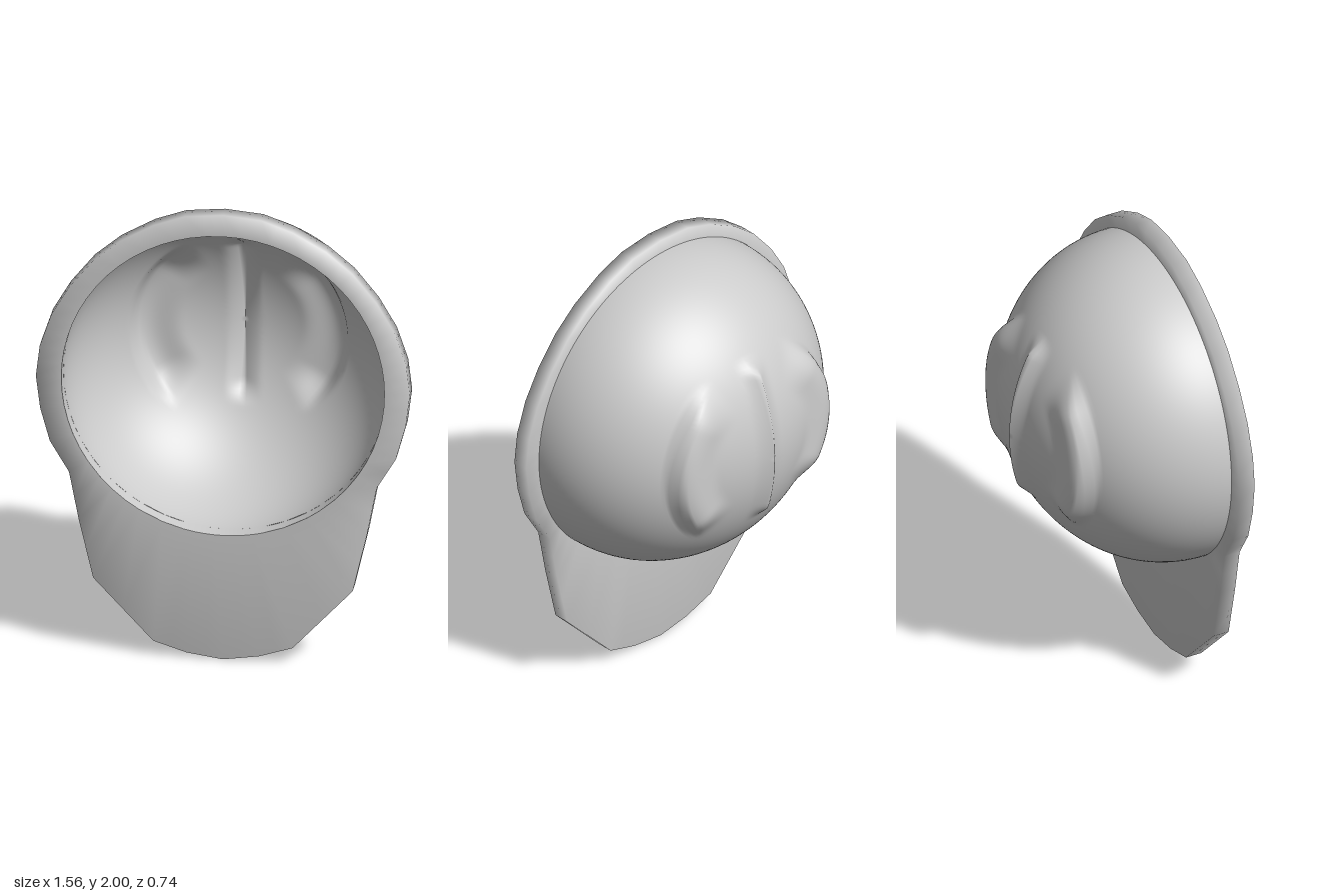
import * as THREE from 'three';
import { mergeVertices } from 'three/addons/utils/BufferGeometryUtils.js';

const CENTRE_Y = 1.232, RIM_Z = 0.3, HOLE_R = 0.672, DOME_R = 0.705;
const { smoothstep } = THREE.MathUtils;

const material = () => new THREE.MeshStandardMaterial({ color: 0xcccccc, side: THREE.DoubleSide });

function addMesh(group, name, geometry) {
  const mesh = new THREE.Mesh(geometry, material());
  mesh.name = name;
  group.add(mesh);
}

// Height of the raised folds on the crown: one sharp middle fin, two curved side folds
function foldHeight(x, y) {
  const across = Math.max(0, 1 - Math.abs(x) / 0.075) ** 1.6;
  const along = smoothstep(y, 0.89, 0.98) * (1 - smoothstep(y, 1.6, 1.67));
  const middle = (0.03 + 0.11 * (y - 1.23) ** 2) * across * along;

  const r = Math.hypot(x, y - 1.25);
  const angle = Math.atan2(y - 1.25, Math.abs(x));
  const ring = smoothstep(r, 0.25, 0.415) * (1 - smoothstep(r, 0.425, 0.455));
  const reach = smoothstep(angle, -0.95, -0.55) * (1 - smoothstep(angle, 0.6, 1.1));
  return middle + 0.052 * ring * reach;
}

// Half ellipsoid pointing to -z with the folds pushed out of it
function domeGeometry(radius, depth, inward) {
  const points = [];
  const rings = 64;
  if (inward) points.push(new THREE.Vector2(radius, -0.07)); // wall of the opening
  for (let i = 0; i <= rings; i++) {
    const a = (i / rings) * Math.PI / 2;
    points.push(new THREE.Vector2(i === rings ? 0 : radius * Math.cos(a), depth * Math.sin(a)));
  }
  if (inward) points.reverse();
  let g = new THREE.LatheGeometry(points, 128);
  g.rotateX(-Math.PI / 2).translate(0, CENTRE_Y, RIM_Z);
  const p = g.attributes.position;
  for (let i = 0; i < p.count; i++) {
    p.setZ(i, p.getZ(i) - foldHeight(p.getX(i), p.getY(i)));
  }
  g.deleteAttribute('uv');
  g.deleteAttribute('normal');
  g = mergeVertices(g, 1e-5);
  g.computeVertexNormals();
  return g;
}

// Flat rim and peak: a ring between the round opening and the outline
function brimGeometry() {
  const half = [
    [0, 2], [0.16, 1.985], [0.29, 1.938], [0.43, 1.858], [0.54, 1.765], [0.64, 1.64],
    [0.715, 1.51], [0.762, 1.37], [0.778, 1.235], [0.76, 1.09], [0.72, 0.945], [0.64, 0.81],
    [0.6, 0.6], [0.54, 0.34], [0.29, 0.07], [0.15, 0.025], [0, 0.003],
  ];
  const corners = [...half, ...half.slice(1, -1).reverse().map(([x, y]) => [-x, y])];
  const outline = corners.flatMap(([x, y], i) => {
    const [nx, ny] = corners[(i + 1) % corners.length];
    return [[x, y], [(x + nx) / 2, (y + ny) / 2]];
  });
  const n = outline.length;
  const position = [], index = [];
  for (const [x, y] of outline) {
    const k = HOLE_R / Math.hypot(x, y - CENTRE_Y);
    const hx = x * k, hy = CENTRE_Y + (y - CENTRE_Y) * k;
    position.push(hx, hy, 0.37, x, y, 0.37, x, y, RIM_Z, hx, hy, RIM_Z);
  }
  for (let i = 0; i < n; i++) {
    const a = i * 4, b = ((i + 1) % n) * 4;
    for (let j = 0; j < 3; j++) {
      index.push(a + j, b + j, a + j + 1, b + j, b + j + 1, a + j + 1);
    }
  }
  // The outline runs clockwise seen from the front, so turn the faces outward
  for (let i = 0; i < index.length; i += 3) {
    [index[i + 1], index[i + 2]] = [index[i + 2], index[i + 1]];
  }
  const g = new THREE.BufferGeometry();
  g.setAttribute('position', new THREE.Float32BufferAttribute(position, 3));
  g.setIndex(index);
  g.computeVertexNormals();
  return g;
}

export function createModel() {
  const group = new THREE.Group();
  group.name = 'cap';
  addMesh(group, 'crownOuter', domeGeometry(DOME_R, 0.64, false));
  addMesh(group, 'crownLining', domeGeometry(HOLE_R, 0.605, true));
  addMesh(group, 'brim', brimGeometry());
  return group;
}
